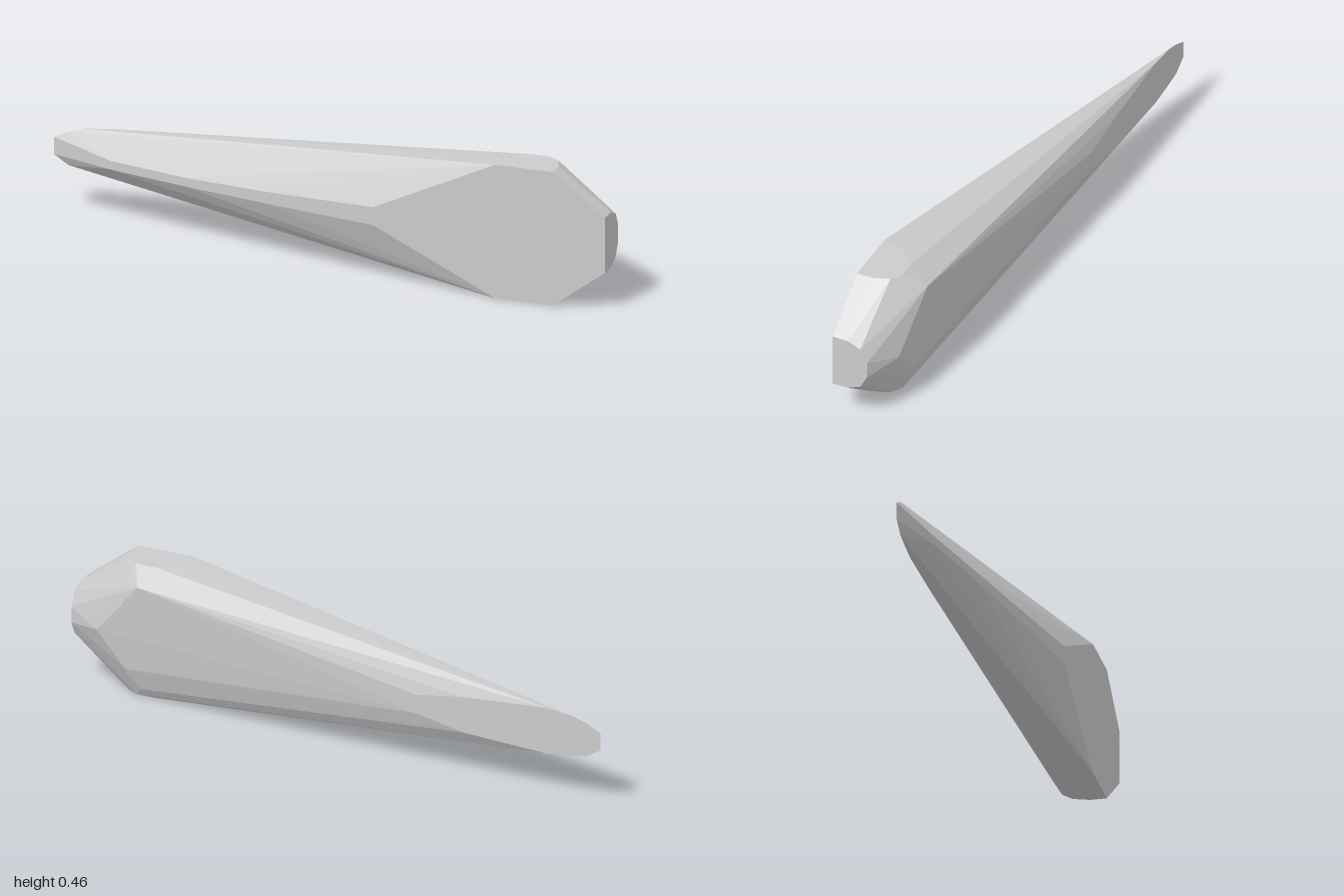
import * as THREE from 'three';
import { ConvexGeometry } from 'three/addons/geometries/ConvexGeometry.js';

export function createModel() {
  const points = [];
  const add = (x, y, z) => points.push(new THREE.Vector3(x, y, z));

  // Flat end cap at the thick end: half of a chamfered polygon
  const cap = [[0.14, 0.325], [0.085, 0.325], [0.04, 0.305], [0.015, 0.258]];
  for (const [z, y] of cap) {
    add(1, y, z);
    add(1, 0.46 - y, z);
  }

  // Rounded outline of the matching top and bottom flats
  const flat = [[0.62, 0.14], [0.64, 0.06], [0.69, 0.005], [0.76, 0.005], [0.8, 0.03], [0.82, 0.085], [0.82, 0.14]];
  for (const [x, z] of flat) {
    add(x, 0.46, z);
    add(x, 0, z);
  }

  // Front ridge, bowing from the thin tip to the front flat: x, z, low y, high y
  const ridge = [[0.2, 0.14, 0.2, 0.262], [-0.2, 0.065, 0.2, 0.24], [-0.5, 0.003, 0.2, 0.23], [-0.78, -0.065, 0.2, 0.23]];
  for (const [x, z, low, high] of ridge) {
    add(x, low, z);
    add(x, high, z);
  }

  // Long flat on the back of the thin end: x, low y, high y
  const back = [[-1, 0.2, 0.26], [-0.95, 0.168, 0.284], [-0.9, 0.16, 0.3], [-0.8, 0.15, 0.311], [-0.5, 0.165, 0.29], [-0.33, 0.2, 0.265]];
  for (const [x, low, high] of back) {
    add(x, low, -0.14);
    add(x, high, -0.14);
  }

  // Back shoulder of the thick end
  add(0.72, 0.41, -0.066);
  add(0.88, 0.22, -0.04);
  add(0.78, 0.1, -0.035);
  add(0.73, 0.03, -0.015);

  const body = new THREE.Mesh(
    new ConvexGeometry(points),
    new THREE.MeshStandardMaterial({ color: 0xcccccc, flatShading: true })
  );
  body.name = 'taperedBody';

  const group = new THREE.Group();
  group.name = 'taperedWedge';
  group.add(body);
  return group;
}
